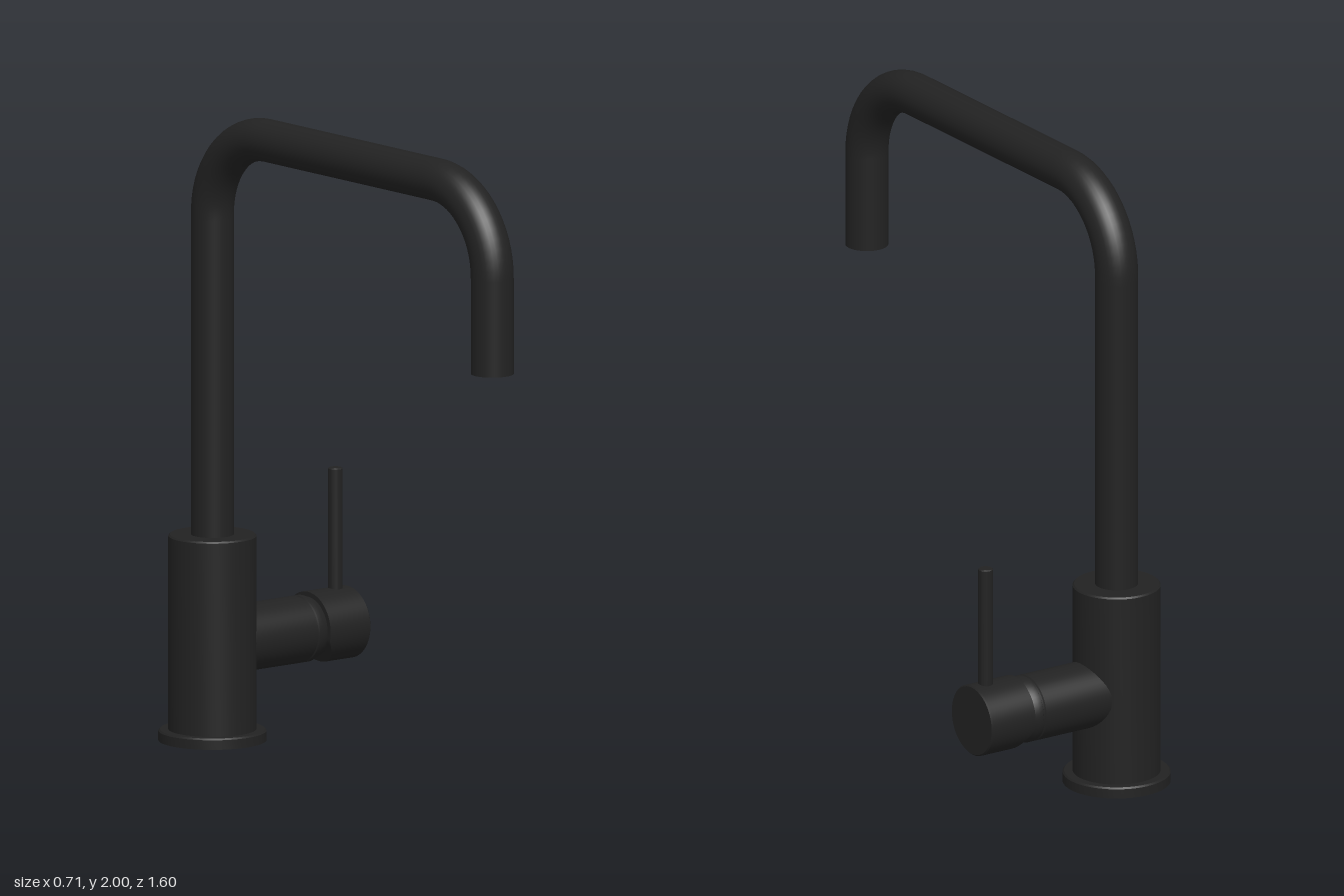
import * as THREE from 'three';
import { toCreasedNormals } from 'three/addons/utils/BufferGeometryUtils.js';

const AXIS_X = -0.19, AXIS_Z = -0.635, ARM_Y = 0.308;

export function createModel() {
  const model = new THREE.Group();
  model.name = 'mixerTap';
  const black = new THREE.MeshStandardMaterial({ color: 0x222222 });
  black.name = 'matteBlack';

  const add = (name, geometry, x = 0, y = 0, z = 0) => {
    const mesh = new THREE.Mesh(geometry, black);
    mesh.name = name;
    mesh.position.set(x, y, z);
    model.add(mesh);
    return mesh;
  };
  // Turned part from [radius, height] pairs, running bottom to top
  const turned = (points, sides = 48) =>
    new THREE.LatheGeometry(points.map(([r, h]) => new THREE.Vector2(r, h)), sides);
  const crease = (geometry) => toCreasedNormals(geometry, 0.5);

  // Upright: flange and body
  add('baseFlange', crease(turned([[0, 0], [0.168, 0], [0.168, 0.03], [0.163, 0.035], [0, 0.035]])), AXIS_X, 0, AXIS_Z);
  add('body', crease(turned([[0, 0.03], [0.137, 0.03], [0.137, 0.645], [0.132, 0.65], [0, 0.65]])), AXIS_X, 0, AXIS_Z);

  // Spout: straight runs joined by quarter bends
  const top = 1.933, bend = 0.27, k = bend * 0.448, front = 0.734, tip = 1.36, radius = 0.067;
  const v = (y, z) => new THREE.Vector3(0, y, z);
  const path = new THREE.CurvePath();
  path.add(new THREE.LineCurve3(v(0.64, AXIS_Z), v(top - bend, AXIS_Z)));
  path.add(new THREE.CubicBezierCurve3(v(top - bend, AXIS_Z), v(top - k, AXIS_Z), v(top, AXIS_Z + k), v(top, AXIS_Z + bend)));
  path.add(new THREE.LineCurve3(v(top, AXIS_Z + bend), v(top, front - bend)));
  path.add(new THREE.CubicBezierCurve3(v(top, front - bend), v(top, front - k), v(top - k, front), v(top - bend, front)));
  path.add(new THREE.LineCurve3(v(top - bend, front), v(tip, front)));
  add('spout', new THREE.TubeGeometry(path, 110, radius, 32, false), AXIS_X);

  // Outlet rim with recessed aerator
  add('aerator', crease(turned([[0, 0.015], [0.05, 0.015], [0.053, 0], [radius, 0]], 32)), AXIS_X, tip, front);

  // Side arm, lying along x, with a narrow groove and rounded pivot end
  const arm = turned([[0, -0.1], [0.105, -0.1], [0.105, 0.145], [0.101, 0.148], [0.101, 0.153],
    [0.105, 0.156], [0.105, 0.172], [0.099, 0.188], [0.092, 0.21], [0.08, 0.235], [0, 0.24]]);
  add('sideArm', crease(arm.rotateZ(-Math.PI / 2)), 0, ARM_Y, AXIS_Z);

  // Handle cap with its lower inner edge cut away at a slant
  const capRadius = 0.113;
  const cap = turned([[0, 0.192], [0.04, 0.192], [0.07, 0.192], [0.095, 0.192], [capRadius, 0.192],
    [capRadius, 0.351], [0.109, 0.355], [0, 0.355]]).rotateZ(-Math.PI / 2);
  const p = cap.attributes.position;
  for (let i = 0; i < p.count; i++) {
    p.setX(i, Math.max(p.getX(i), 0.242 - 0.62 * (p.getY(i) + capRadius)));
  }
  add('handleCap', crease(cap), 0, ARM_Y, AXIS_Z);

  // Pin lever
  add('lever', crease(turned([[0, 0.4], [0.023, 0.4], [0.023, 0.797], [0.02, 0.8], [0, 0.8]], 24)), 0.303, 0, AXIS_Z);

  return model;
}
